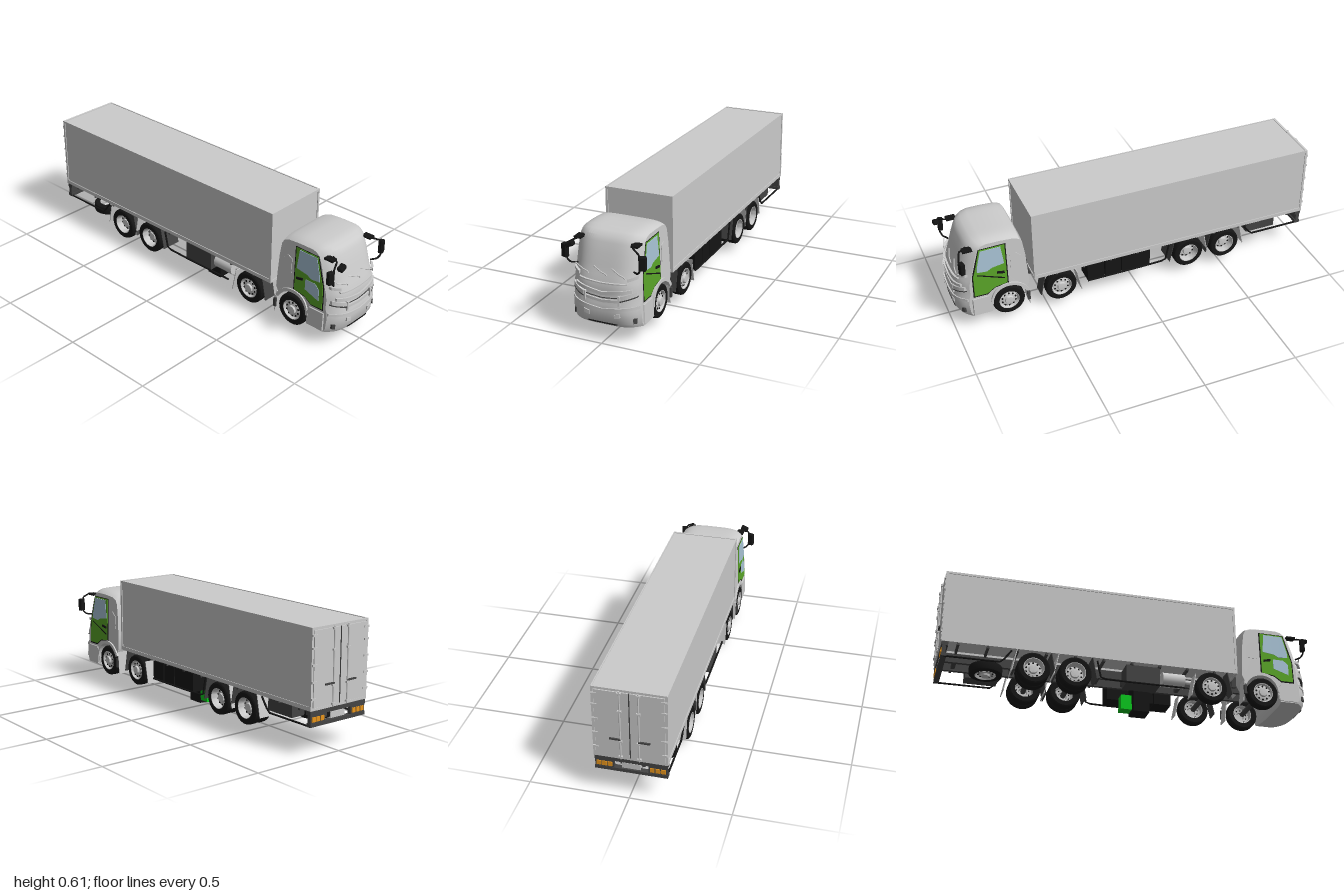
import * as THREE from 'three';
import { toCreasedNormals } from 'three/addons/utils/BufferGeometryUtils.js';
import { RoundedBoxGeometry } from 'three/addons/geometries/RoundedBoxGeometry.js';

const mat = (color) => new THREE.MeshStandardMaterial({ color, side: THREE.DoubleSide });
const GREY = mat(0xcccccc), BLACK = mat(0x151515), DARK = mat(0x444444), GREEN = mat(0x5aa528);
const LIME = mat(0x0bc81e), GLASS = mat(0xa9c4d6), AMBER = mat(0xe8951c);
const HW = 0.18; // cab half width

function add(parent, name, geo, material = GREY) {
  const m = new THREE.Mesh(geo, material);
  m.name = name;
  parent.add(m);
  return m;
}
// Box given by its extents
function span(parent, name, x0, x1, y0, y1, z0, z1, material) {
  const m = add(parent, name, new THREE.BoxGeometry(x1 - x0, y1 - y0, z1 - z0), material);
  m.position.set((x0 + x1) / 2, (y0 + y1) / 2, (z0 + z1) / 2);
  return m;
}
function tube(parent, name, pts, r, material = BLACK) {
  const path = new THREE.CurvePath();
  const v = pts.map((p) => new THREE.Vector3(...p));
  for (let i = 1; i < v.length; i++) path.add(new THREE.LineCurve3(v[i - 1], v[i]));
  return add(parent, name, new THREE.TubeGeometry(path, (v.length - 1) * 6, r, 8), material);
}
const poly = (pts) => new THREE.Shape(pts.map((p) => new THREE.Vector2(...p)));
// Side outline (z, y) extruded across x
function across(shape, x0, x1, steps = 1) {
  const g = new THREE.ExtrudeGeometry(shape, { depth: x1 - x0, steps, bevelEnabled: false, curveSegments: 20 });
  return g.rotateY(-Math.PI / 2).translate(x1, 0, 0);
}
// Cab curvature: taper upwards, swept front corners, rounded roof edges
function bend(geo) {
  const p = geo.attributes.position, ss = THREE.MathUtils.smoothstep;
  for (let i = 0; i < p.count; i++) {
    const x = p.getX(i), y = p.getY(i), z = p.getZ(i);
    const t = Math.min(1, Math.abs(x) / HW);
    p.setXYZ(i, x * (1 - 0.17 * (y - 0.1)), y - 0.02 * t ** 6 * ss(y, 0.42, 0.53), z - 0.06 * t ** 4 * ss(z, 0.75, 0.98));
  }
  return toCreasedNormals(geo, 0.55);
}
function frontBar(parent, name, x0, x1, y0, y1, z, d, material, skew = 0) {
  const g = new THREE.BoxGeometry(x1 - x0, y1 - y0, d, 14, 1, 1);
  g.translate((x0 + x1) / 2, (y0 + y1) / 2, z);
  const p = g.attributes.position;
  for (let i = 0; i < p.count; i++) p.setY(i, p.getY(i) + skew * Math.abs(p.getX(i)));
  return add(parent, name, bend(g), material);
}

function buildCab() {
  const cab = new THREE.Group();
  cab.name = 'cab';
  cab.position.x = -0.003;
  // Shell with wheel arch
  const s = new THREE.Shape();
  s.moveTo(0.83, 0.09);
  [[0.968, 0.09], [0.98, 0.11], [0.985, 0.16], [0.983, 0.2], [0.974, 0.225], [0.976, 0.27], [0.97, 0.305], [0.958, 0.335],
    [0.945, 0.38], [0.93, 0.43], [0.912, 0.48], [0.898, 0.507], [0.87, 0.524], [0.83, 0.531], [0.74, 0.531],
    [0.67, 0.526], [0.64, 0.513], [0.626, 0.485], [0.615, 0.4], [0.608, 0.3], [0.604, 0.22]].forEach((p) => s.lineTo(...p));
  s.absarc(0.715, 0.13, 0.1, Math.PI * 0.85, 0, true);
  add(cab, 'cabShell', bend(across(s, -HW, HW, 28)));

  for (const k of [-1, 1]) {
    const panel = (name, pts, out, material) => {
      const a = k * (HW - 0.004), b = k * (HW + out);
      add(cab, name, bend(across(poly(pts), Math.min(a, b), Math.max(a, b))), material);
    };
    panel('doorSeal', [[0.712, 0.245], [0.79, 0.235], [0.85, 0.205], [0.957, 0.205], [0.955, 0.33], [0.935, 0.39], [0.895, 0.505], [0.712, 0.507]], 0.001, BLACK);
    panel('door', [[0.718, 0.25], [0.79, 0.24], [0.85, 0.212], [0.95, 0.212], [0.948, 0.33], [0.926, 0.385], [0.89, 0.5], [0.718, 0.502]], 0.003, GREEN);
    panel('sideWindow', [[0.728, 0.375], [0.8, 0.365], [0.84, 0.35], [0.92, 0.355], [0.918, 0.385], [0.882, 0.492], [0.74, 0.494]], 0.005, GLASS);
    panel('doorHandle', [[0.73, 0.315], [0.77, 0.322], [0.77, 0.334], [0.73, 0.327]], 0.008, BLACK);
    if (k < 0) panel('lowerWindow', [[0.79, 0.28], [0.92, 0.25], [0.92, 0.31], [0.88, 0.335], [0.79, 0.335]], 0.005, GLASS);
    else panel('doorCrease', [[0.73, 0.28], [0.92, 0.335], [0.92, 0.341], [0.73, 0.287]], 0.005, BLACK);
    panel('rearCornerPanel', [[0.635, 0.33], [0.695, 0.33], [0.695, 0.41], [0.67, 0.425], [0.64, 0.4]], 0.003, GREY);
    panel('bumperStep', [[0.825, 0.095], [0.965, 0.095], [0.965, 0.195], [0.84, 0.195], [0.82, 0.16]], 0.006, GREY);
    // Wheel arch flare
    const flare = new THREE.Shape();
    flare.absarc(0.715, 0.13, 0.116, 0.1, Math.PI * 0.87, false);
    flare.absarc(0.715, 0.13, 0.099, Math.PI * 0.87, 0.1, true);
    panel('wheelArchFlare', flare.getPoints(14).map((p) => [p.x, p.y]), 0.008, GREY);

    // Lights and vents on the front
    const bar = (name, x0, x1, y0, y1, z, d, m, skew) =>
      frontBar(cab, name, Math.min(k * x0, k * x1), Math.max(k * x0, k * x1), y0, y1, z, d, m, skew);
    bar('headlight', 0.1, 0.168, 0.2, 0.222, 0.979, 0.016, GREY, 0.3);
    bar('headlightTrim', 0.095, 0.17, 0.194, 0.199, 0.981, 0.014, DARK, 0.3);
    bar('grilleSideTrim', 0.086, 0.096, 0.185, 0.235, 0.977, 0.022, GREY, 0.2);
    bar('fogLight', 0.066, 0.095, 0.12, 0.14, 0.984, 0.012, GREY, 0.25);
    bar('bumperVent', 0.152, 0.164, 0.115, 0.14, 0.982, 0.018, DARK);
    bar('cornerVane', 0.13, 0.17, 0.29, 0.305, 0.972, 0.016, GREY, 0.25);

    // Mirrors and arms
    const mirror = add(cab, 'mirror', new RoundedBoxGeometry(0.032, 0.07, 0.026, 2, 0.006), BLACK);
    mirror.position.set(k * 0.202, 0.425, 0.95);
    mirror.rotation.y = k * 0.3;
    tube(cab, 'mirrorArm', [[k * 0.125, 0.49, 0.905], [k * 0.15, 0.488, 0.945], [k * 0.186, 0.467, 0.958], [k * 0.188, 0.385, 0.958],
      [k * 0.172, 0.368, 0.95], [k * 0.145, 0.365, 0.93]], 0.0045);
    span(cab, 'mirrorBracket', k * 0.147 - 0.018, k * 0.147 + 0.018, 0.483, 0.493, 0.88, 0.93, BLACK);
  }
  const kerb = add(cab, 'kerbMirror', new RoundedBoxGeometry(0.042, 0.026, 0.032, 2, 0.008), BLACK);
  kerb.position.set(-0.157, 0.475, 0.98);
  kerb.rotation.z = 0.4;

  // Grille, bumper and wipers
  frontBar(cab, 'grilleTopBar', -0.13, 0.13, 0.3, 0.306, 0.972, 0.014, GREY, 0.05);
  frontBar(cab, 'grilleUpperBar', -0.15, 0.15, 0.245, 0.262, 0.976, 0.016, GREY, 0.15);
  frontBar(cab, 'grilleLowerBar', -0.1, 0.1, 0.208, 0.222, 0.975, 0.014, GREY, 0.1);
  frontBar(cab, 'grilleSlot', -0.1, 0.1, 0.228, 0.231, 0.973, 0.01, DARK, 0.1);
  frontBar(cab, 'bumperBar', -0.178, 0.178, 0.165, 0.18, 0.98, 0.02, GREY, 0.12);
  frontBar(cab, 'bumperSlot', -0.076, 0.076, 0.1, 0.105, 0.974, 0.012, BLACK);
  for (const x of [-0.075, 0.02, 0.115])
    tube(cab, 'wiper', [[x, 0.335, 0.962], [x - 0.006, 0.345, 0.964], [x - 0.03, 0.352, 0.962], [x - 0.075, 0.37, 0.948]], 0.003, GREY);
  return cab;
}

// Wheel with its outer side towards +x
function buildWheel(dual) {
  const w = new THREE.Group();
  w.name = 'wheel';
  const lathe = (pts) => new THREE.LatheGeometry(pts.map((p) => new THREE.Vector2(...p)), 36).rotateZ(-Math.PI / 2);
  const tyre = toCreasedNormals(lathe([[0.052, -0.023], [0.076, -0.025], [0.083, -0.021], [0.085, -0.015], [0.085, 0.015], [0.083, 0.021], [0.076, 0.025], [0.052, 0.023]]), 0.6);
  add(w, 'tyre', tyre, BLACK);
  const h = dual ? -0.012 : 0.012;
  add(w, 'rim', toCreasedNormals(lathe([[0.053, -0.023], [0.048, -0.02], [0.046, 0], [0.05, 0.018], [0.054, 0.025], [0.051, 0.025], [0.045, h], [0.028, h + 0.008], [0.024, h + 0.008], [0.021, h + 0.018], [0.0, h + 0.02]]), 0.5));
  for (let i = 0; i < 10; i++) {
    const a = (i / 10) * Math.PI * 2;
    const hole = add(w, 'rimHole', new THREE.CylinderGeometry(0.005, 0.005, 0.003, 8).rotateZ(Math.PI / 2), BLACK);
    hole.position.set(h + 0.005, 0.037 * Math.cos(a), 0.037 * Math.sin(a));
  }
  if (dual) add(w, 'innerTyre', tyre, BLACK).position.x = -0.054;
  return w;
}

function buildCargoBox() {
  const b = new THREE.Group();
  b.name = 'cargoBox';
  const X = 0.181, Y0 = 0.222, Y1 = 0.617, Z0 = -0.985, Z1 = 0.575, e = 0.012;
  span(b, 'boxBody', -X + 0.004, X - 0.004, Y0 + 0.002, Y1 - 0.003, Z0 + 0.004, Z1 - 0.004);
  // Edge frame
  for (const z of [Z0 + e / 2, Z1 - e / 2]) {
    for (const k of [-1, 1]) span(b, 'cornerPost', k * (X - e / 2) - e / 2, k * (X - e / 2) + e / 2, Y0, Y1, z - e / 2, z + e / 2);
    for (const y of [Y0, Y1 - e]) span(b, 'endRail', -X, X, y, y + e, z - e / 2, z + e / 2);
  }
  for (const k of [-1, 1]) for (const [y, h] of [[Y0, 0.02], [Y1 - e, e]])
    span(b, 'sideRail', k * (X - 0.003) - 0.003, k * (X - 0.003) + 0.003, y, y + h, Z0, Z1);
  // Rear doors with lock rods, handles and hinges
  for (const k of [-1, 1]) {
    span(b, 'rearDoor', k * 0.085 - 0.082, k * 0.085 + 0.082, Y0 + 0.014, Y1 - 0.014, Z0 - 0.003, Z0 + 0.01);
    const rod = add(b, 'lockRod', new THREE.CylinderGeometry(0.004, 0.004, 0.385, 8));
    rod.position.set(k * 0.045, 0.42, -0.992);
    for (const y of [0.24, 0.33, 0.5, 0.6]) span(b, 'rodBracket', k * 0.045 - 0.01, k * 0.045 + 0.01, y - 0.005, y + 0.005, -0.998, -0.986);
    span(b, 'doorLever', k * 0.07 - 0.028, k * 0.07 + 0.028, 0.336, 0.344, -0.997, -0.989, DARK);
    for (const y of [0.28, 0.36, 0.44, 0.52, 0.58]) span(b, 'hinge', k * 0.166 - 0.014, k * 0.166 + 0.014, y - 0.005, y + 0.005, -0.992, -0.984);
  }
  span(b, 'doorSeam', -0.002, 0.002, Y0 + 0.014, Y1 - 0.014, -0.99, -0.985, DARK);
  return b;
}

function buildChassis() {
  const c = new THREE.Group();
  c.name = 'chassis';
  for (const k of [-1, 1]) {
    span(c, 'frameRail', k * 0.052 - 0.009, k * 0.052 + 0.009, 0.165, 0.215, -0.95, 0.88, DARK);
    span(c, 'boxSill', k * 0.052 - 0.012, k * 0.052 + 0.012, 0.213, 0.224, -0.96, 0.57);
  }
  for (let z = -0.9; z < 0.6; z += 0.15) {
    span(c, 'crossMember', -0.052, 0.052, 0.175, 0.2, z - 0.01, z + 0.01, DARK);
    span(c, 'floorBeam', -0.175, 0.175, 0.21, 0.224, z - 0.006, z + 0.006, DARK);
  }
  span(c, 'rearCabMount', -0.075, 0.075, 0.19, 0.27, 0.578, 0.605, DARK);
  // Axles, wheels and mudguards
  for (const [z, dual] of [[0.715, false], [0.43, false], [-0.3, true], [-0.515, true]]) {
    add(c, 'axle', new THREE.CylinderGeometry(0.014, 0.014, 0.28, 12).rotateZ(Math.PI / 2), DARK).position.set(0, 0.13, z);
    if (dual) add(c, 'differential', new THREE.SphereGeometry(0.035, 16, 12), DARK).position.set(0, 0.13, z);
    for (const k of [-1, 1]) {
      const w = buildWheel(dual);
      w.position.set(k * 0.156, 0.13, z);
      if (k < 0) w.rotation.y = Math.PI;
      c.add(w);
      for (const [dz, lean] of z < 0.6 ? [[0.1, 0.2], [-0.1, -0.2]] : [[-0.105, -0.1]]) {
        const flap = add(c, 'mudflap', new THREE.BoxGeometry(dual ? 0.11 : 0.07, 0.125, 0.004), dz > 0 ? DARK : GREY);
        flap.position.set(k * (dual ? 0.125 : 0.145), dz > 0 || dual ? 0.165 : 0.135, z + dz);
        flap.rotation.x = -lean;
      }
    }
  }
  for (const k of [-1, 1]) span(c, 'fenderLamp', k * 0.187 - 0.005, k * 0.187 + 0.005, 0.11, 0.16, 0.605, 0.62, DARK);
  // Equipment between the axles
  for (const [z0, z1] of [[-0.075, 0.085], [0.092, 0.18], [0.187, 0.28]]) span(c, 'fuelTank', 0.07, 0.168, 0.11, 0.212, z0, z1, BLACK);
  span(c, 'lowerUnit', -0.062, 0.034, 0.003, 0.19, 0.035, 0.123, BLACK);
  span(c, 'greenUnit', -0.03, 0.031, 0.02, 0.1, -0.022, 0.037, LIME);
  span(c, 'batteryBox', -0.165, -0.07, 0.11, 0.212, -0.03, 0.15, DARK);
  add(c, 'silencer', new THREE.CylinderGeometry(0.038, 0.038, 0.12, 24).rotateX(Math.PI / 2)).position.set(-0.125, 0.165, 0.23);
  tube(c, 'exhaustPipe', [[-0.125, 0.165, 0.29], [-0.09, 0.18, 0.34], [-0.03, 0.18, 0.5]], 0.012, GREY);
  // Side guards
  for (const k of [-1, 1]) {
    tube(c, 'sideGuard', [[k * 0.17, 0.21, -0.185], [k * 0.17, 0.115, -0.165], [k * 0.17, 0.112, -0.03], [k * 0.17, 0.112, 0.28]], 0.005);
    tube(c, 'rearSideGuard', [[k * 0.17, 0.215, -0.63], [k * 0.17, 0.145, -0.68], [k * 0.17, 0.145, -0.97]], 0.005);
  }
  span(c, 'toolBox', 0.075, 0.155, 0.15, 0.212, -0.83, -0.66, DARK);
  // Spare wheel lying flat
  const spare = buildWheel(false);
  spare.name = 'spareWheel';
  spare.rotation.z = -Math.PI / 2;
  spare.position.set(-0.075, 0.128, -0.745);
  c.add(spare);
  // Rear bumper and lamps
  span(c, 'rearCrossBeam', -0.178, 0.178, 0.2, 0.224, -0.982, -0.95, DARK);
  span(c, 'rearBumper', -0.178, 0.178, 0.143, 0.16, -0.982, -0.955, DARK);
  span(c, 'plate', -0.045, 0.045, 0.165, 0.195, -0.978, -0.972);
  for (const k of [-1, 1]) {
    span(c, 'lampHousing', k * 0.13 - 0.046, k * 0.13 + 0.046, 0.155, 0.202, -0.98, -0.96, DARK);
    for (const i of [-1, 0, 1]) {
      const x = k * 0.13 + i * 0.027;
      span(c, 'rearLamp', x - 0.011, x + 0.011, 0.167, 0.191, -0.984, -0.975, AMBER);
    }
  }
  return c;
}

export function createModel() {
  const truck = new THREE.Group();
  truck.name = 'truck';
  const rear = new THREE.Group();
  rear.name = 'chassisAndBox';
  rear.position.x = -0.008;
  rear.add(buildChassis(), buildCargoBox());
  truck.add(buildCab(), rear);
  return truck;
}
